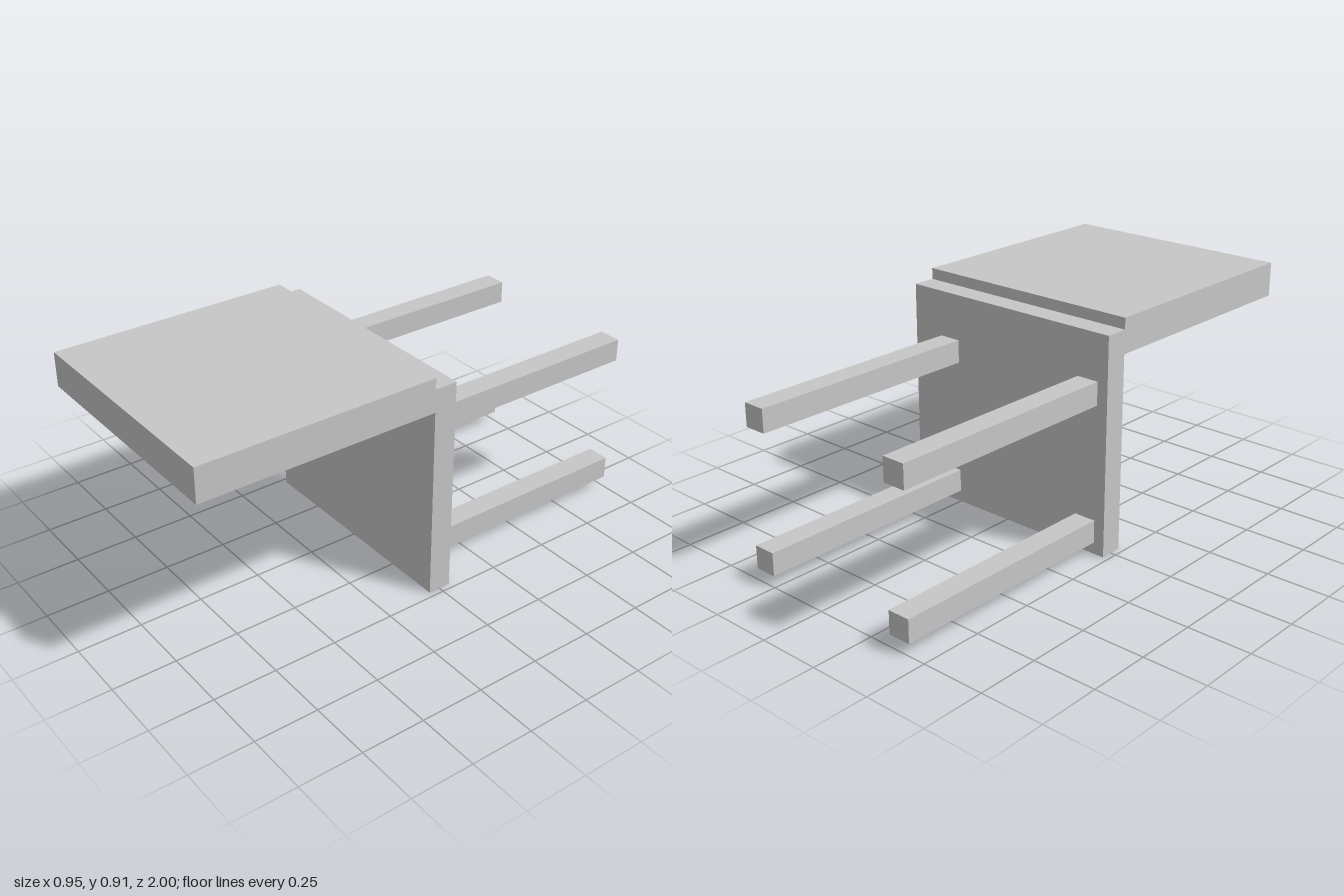
import * as THREE from 'three';

export function createModel() {
  const chair = new THREE.Group();
  chair.name = 'tippedChair';

  const grey = new THREE.MeshStandardMaterial({ color: 0xc7c7c7 });
  grey.name = 'lightGrey';

  // Box given by its lower and upper limits on each axis
  function block(name, [x0, x1], [y0, y1], [z0, z1]) {
    const mesh = new THREE.Mesh(new THREE.BoxGeometry(x1 - x0, y1 - y0, z1 - z0), grey);
    mesh.name = name;
    mesh.position.set((x0 + x1) / 2, (y0 + y1) / 2, (z0 + z1) / 2);
    chair.add(mesh);
  }

  // Seat stands upright, backrest lies flat towards the front
  block('seat', [-0.477, 0.477], [0, 0.864], [-0.046, 0.046]);
  block('backrest', [-0.477, 0.477], [0.772, 0.908], [0.046, 1]);

  // Four square legs reaching backwards, set off-centre on the seat
  for (const x of [-0.432, 0.25]) {
    for (const y of [0.046, 0.592]) {
      block('leg', [x, x + 0.091], [y, y + 0.091], [-1, -0.046]);
    }
  }

  return chair;
}
